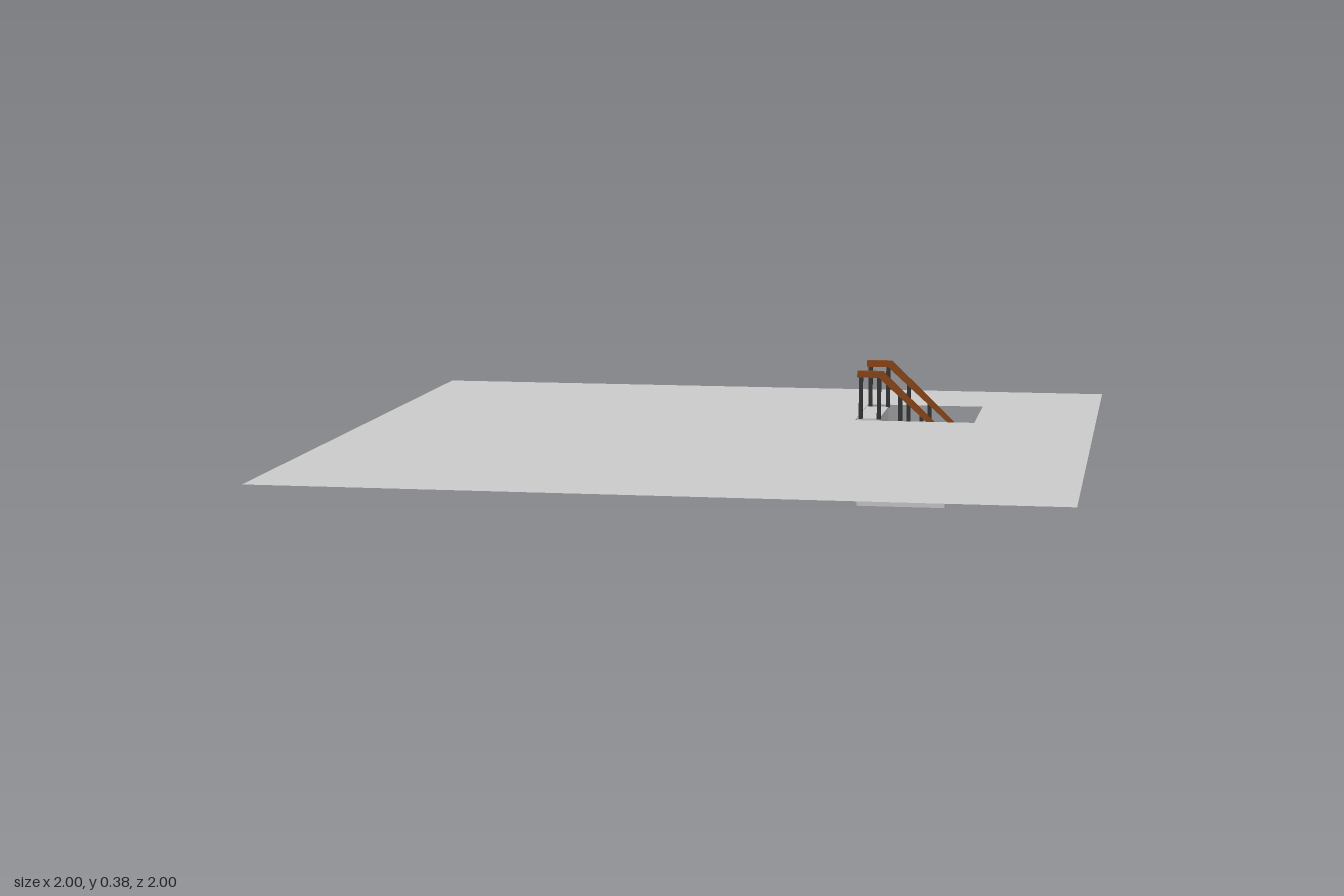
import * as THREE from 'three';

const FLOOR_Y = 0.25, X0 = 0.335, STEP_W = 0.0623, RISER = 0.0595, STEPS = 4;
const Z_BACK = -0.625, Z_FRONT = -0.375;

// Shape in the x/y plane from corner points
const polygon = pts => new THREE.Shape(pts.map(p => new THREE.Vector2(...p)));

// Extrude an x/y shape along z, centred on the given z
function slab(shape, depth, z, material, name) {
  const geo = new THREE.ExtrudeGeometry(shape, { depth, bevelEnabled: false });
  geo.translate(0, 0, z - depth / 2);
  const mesh = new THREE.Mesh(geo, material);
  mesh.name = name;
  return mesh;
}

export function createModel() {
  const model = new THREE.Group();
  model.name = 'floorWithStairwell';
  const grey = new THREE.MeshStandardMaterial({ color: 0xcccccc });
  const sheet = new THREE.MeshStandardMaterial({ color: 0xcccccc, side: THREE.DoubleSide });
  const wood = new THREE.MeshStandardMaterial({ color: 0x8b4513 });
  const metal = new THREE.MeshStandardMaterial({ color: 0x333333 });

  // Thin floor with a square stairwell opening (shape y becomes -z)
  const floorShape = polygon([[-1, -1], [1, -1], [1, 1], [-1, 1]]);
  const a = 1 / 3, b = 2 / 3;
  floorShape.holes.push(polygon([[a, a], [a, b], [b, b], [b, a]]));
  const floor = new THREE.Mesh(new THREE.ShapeGeometry(floorShape).rotateX(-Math.PI / 2), sheet);
  floor.position.y = FLOOR_Y;
  floor.name = 'floor';
  model.add(floor);

  // Solid flight of steps going down towards +x
  const profile = [[X0, 0], [X0 + STEPS * STEP_W, 0]];
  for (let i = STEPS - 1; i >= 0; i--) {
    const y = FLOOR_Y - i * RISER;
    profile.push([X0 + (i + 1) * STEP_W, y], [X0 + i * STEP_W, y]);
  }
  model.add(slab(polygon(profile), Z_FRONT - Z_BACK, (Z_FRONT + Z_BACK) / 2, grey, 'steps'));

  // Handrail: level at the top, then sloping with the steps
  const railShape = polygon([
    [0.335, 0.366], [0.396, 0.366], [0.585, 0.195],
    [0.585, 0.211], [0.406, 0.384], [0.335, 0.384],
  ]);
  const railBottom = x => 0.374 - Math.max(0, x - 0.4) * 0.94;

  for (const [side, z] of [['front', Z_FRONT - 0.001], ['back', Z_BACK - 0.001]]) {
    const railing = new THREE.Group();
    railing.name = side + 'Railing';
    railing.add(slab(railShape, 0.017, z, wood, 'handrail'));
    // One post at the top and one on the edge of each step
    for (let i = 0; i <= STEPS; i++) {
      const x = i === 0 ? 0.345 : 0.396 + (i - 1) * 0.06;
      const base = FLOOR_Y - Math.max(0, i - 1) * RISER - 0.002;
      const height = railBottom(x) - base;
      const post = new THREE.Mesh(new THREE.BoxGeometry(0.011, height, 0.011), metal);
      post.position.set(x, base + height / 2, z);
      post.name = 'post';
      railing.add(post);
    }
    model.add(railing);
  }
  return model;
}
